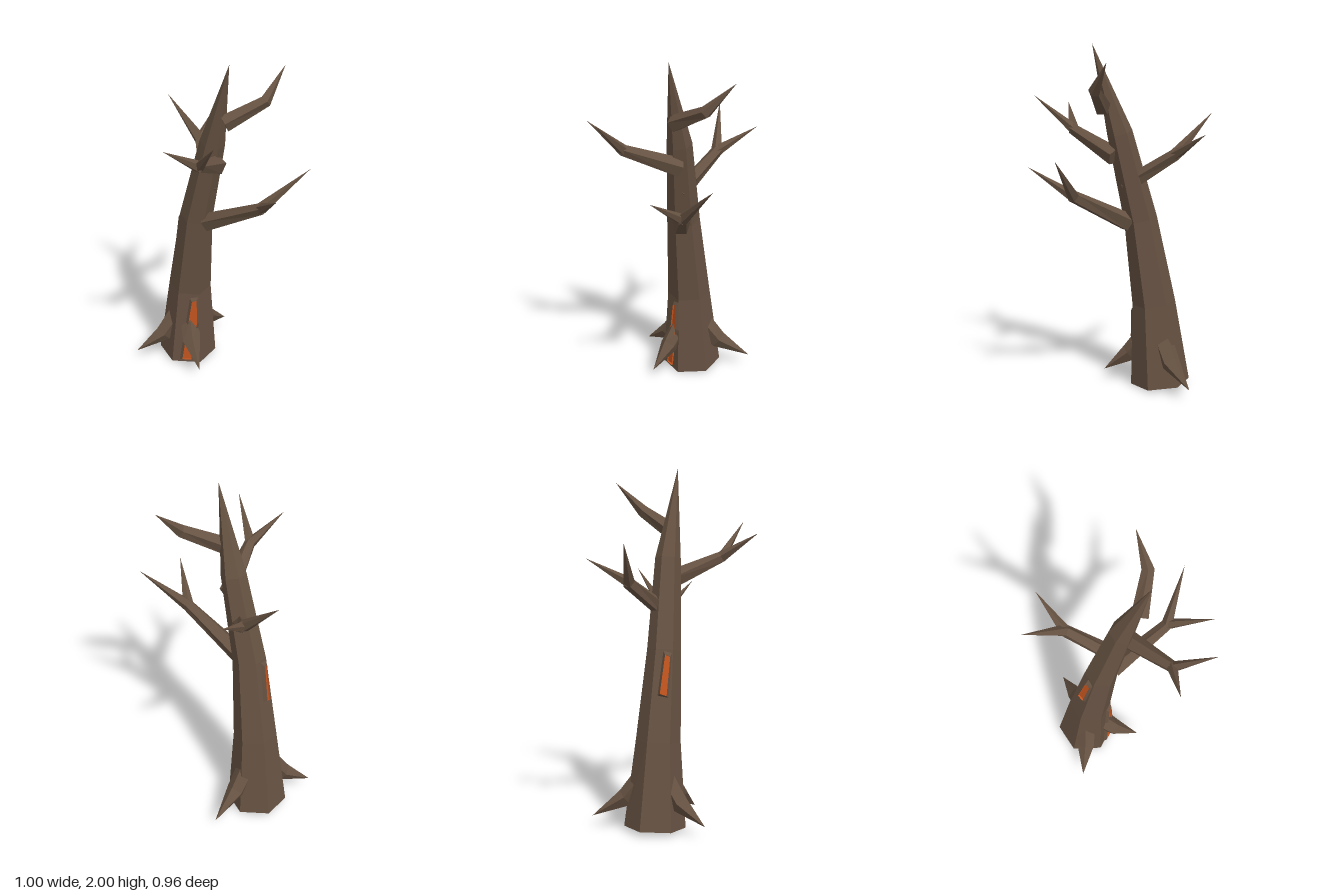
import * as THREE from 'three';

const bark = new THREE.MeshStandardMaterial({ color: 0x665242, flatShading: true });
bark.name = 'bark brown';
const ember = new THREE.MeshStandardMaterial({ color: 0xc4551f, flatShading: true, side: THREE.DoubleSide });
ember.name = 'ember orange';

const V = (p) => new THREE.Vector3(...p);

// Rings of corners square to a bent centre line; ref sets where corner 0 points
function makeRings(points, radii, sides, ref) {
  const c = points.map(V);
  return c.map((p, i) => {
    const t = new THREE.Vector3();
    if (i > 0) t.add(p.clone().sub(c[i - 1]).normalize());
    if (i < c.length - 1) t.add(c[i + 1].clone().sub(p).normalize());
    t.normalize();
    const n = ref.clone().addScaledVector(t, -ref.dot(t)).normalize();
    const b = t.clone().cross(n);
    return Array.from({ length: sides }, (_, j) => {
      const a = (j / sides) * Math.PI * 2;
      return p.clone().addScaledVector(n, radii[i] * Math.cos(a)).addScaledVector(b, radii[i] * Math.sin(a));
    });
  });
}

function meshOf(name, triangles, material) {
  const g = new THREE.BufferGeometry().setFromPoints(triangles);
  g.computeVertexNormals();
  const m = new THREE.Mesh(g, material);
  m.name = name;
  return m;
}

// Skin over rings, with a flat cap at the start and a point at the end
function skin(name, rings) {
  const tri = [];
  const n = rings[0].length;
  for (let i = 0; i < rings.length - 1; i++) {
    for (let j = 0; j < n; j++) {
      const k = (j + 1) % n, a = rings[i], b = rings[i + 1];
      tri.push(a[j], a[k], b[k]);
      if (i < rings.length - 2) tri.push(a[j], b[k], b[j]);
    }
  }
  for (let j = 1; j < n - 1; j++) tri.push(rings[0][0], rings[0][j + 1], rings[0][j]);
  return meshOf(name, tri, bark);
}

const UP = new THREE.Vector3(0, 1, 0);
const limb = (name, points, radii, sides = 5) => skin(name, makeRings(points, radii, sides, UP));

// Glowing crack on one trunk face: outline of [u, v, lift], with a raised bark lip
function crack(name, rings, seg, j, outline) {
  const n = rings[0].length, k = (j + 1) % n;
  const [a, b, c, d] = [rings[seg][j], rings[seg][k], rings[seg + 1][k], rings[seg + 1][j]];
  const normal = b.clone().sub(a).cross(d.clone().sub(a)).normalize();
  const at = (u, v, lift) => a.clone().lerp(b, u).lerp(d.clone().lerp(c, u), v).addScaledVector(normal, lift);
  const N = outline.length;
  const cu = outline.reduce((s, p) => s + p[0], 0) / N;
  const floor = outline.map((p) => at(p[0], p[1], p[2]));
  const ridge = outline.map((p) => at(p[0], p[1], p[2] + 0.01));
  const outer = outline.map((p) => at(
    p[0] + Math.sign(p[0] - cu) * 0.12, p[1] + (p[1] > 0.75 ? 0.05 : -0.02), -0.004));
  const glow = [], lip = [];
  for (let i = 0; i < N; i++) {
    const m = (i + 1) % N;
    if (i > 0 && i < N - 1) glow.push(floor[0], floor[i], floor[m]);
    glow.push(floor[i], ridge[m], ridge[i], floor[i], floor[m], ridge[m]);
    lip.push(outer[i], outer[m], ridge[m], outer[i], ridge[m], ridge[i]);
  }
  const g = new THREE.Group();
  g.name = name;
  g.add(meshOf('crackGlow', glow, ember), meshOf('crackLip', lip, bark));
  return g;
}

export function createModel() {
  const tree = new THREE.Group();
  tree.name = 'deadTree';

  // Leaning six-sided trunk
  const trunk = makeRings(
    [[-0.27, 0.017, -0.11], [-0.235, 0.5, -0.09], [-0.162, 1.0, -0.055], [-0.035, 1.5, -0.03], [0.11, 2.0, 0.03]],
    [0.172, 0.125, 0.095, 0.072, 0], 6, new THREE.Vector3(0, 0, 1));
  tree.add(skin('trunk', trunk));

  // Glowing cracks in the bark
  tree.add(crack('lowerCrack', trunk, 0, 0,
    [[0.36, 0.05, 0.005], [0.68, 0.05, 0.005], [0.9, 0.6, 0.005], [0.88, 0.93, 0.005], [0.66, 0.9, 0.005]]));
  tree.add(crack('upperCrack', trunk, 1, 4,
    [[0.4, 0.52, 0.012], [0.75, 0.5, 0.004], [0.85, 0.92, 0.004], [0.55, 0.94, 0.012]]));

  // Branches: stem from root to elbow, then one or two pointed tips
  const branches = [
    { name: 'leftBranch', root: [-0.08, 0.985, -0.04], elbow: [0.28, 1.17, -0.04], r: [0.055, 0.036],
      tips: [[0.495, 1.405, -0.2], [0.47, 1.33, 0.13]] },
    { name: 'frontBranch', root: [-0.005, 1.37, -0.03], elbow: [0.08, 1.5, 0.28], r: [0.057, 0.034],
      tips: [[-0.01, 1.64, 0.48], [0.262, 1.695, 0.42]] },
    { name: 'backBranch', root: [-0.07, 1.19, -0.03], elbow: [-0.26, 1.385, -0.25], r: [0.05, 0.036],
      tips: [[-0.5, 1.61, -0.272], [-0.293, 1.52, -0.48]] },
  ];
  for (const { name, root, elbow, r, tips } of branches) {
    tree.add(limb(name, [root, elbow, tips[0]], [...r, 0]));
    tree.add(limb(name + 'Fork', [elbow, tips[1]], [r[1] * 0.9, 0]));
  }
  tree.add(limb('topBranch', [[0.06, 1.645, 0.0], [0.22, 1.755, -0.165], [0.25, 1.92, -0.325]], [0.05, 0.036, 0]));

  // Roots flaring out of the base
  const roots = [
    ['rightRoot', [-0.3, 0.3, -0.05], [-0.355, 0.17, 0.03], [-0.465, 0.07, 0.16]],
    ['leftRoot', [-0.2, 0.27, -0.03], [-0.15, 0.175, 0.03], [-0.03, 0.07, 0.125]],
    ['backRoot', [-0.24, 0.3, -0.17], [-0.23, 0.175, -0.27], [-0.22, 0.07, -0.46]],
  ];
  for (const [name, ...path] of roots) tree.add(limb(name, path, [0.06, 0.055, 0]));

  return tree;
}
